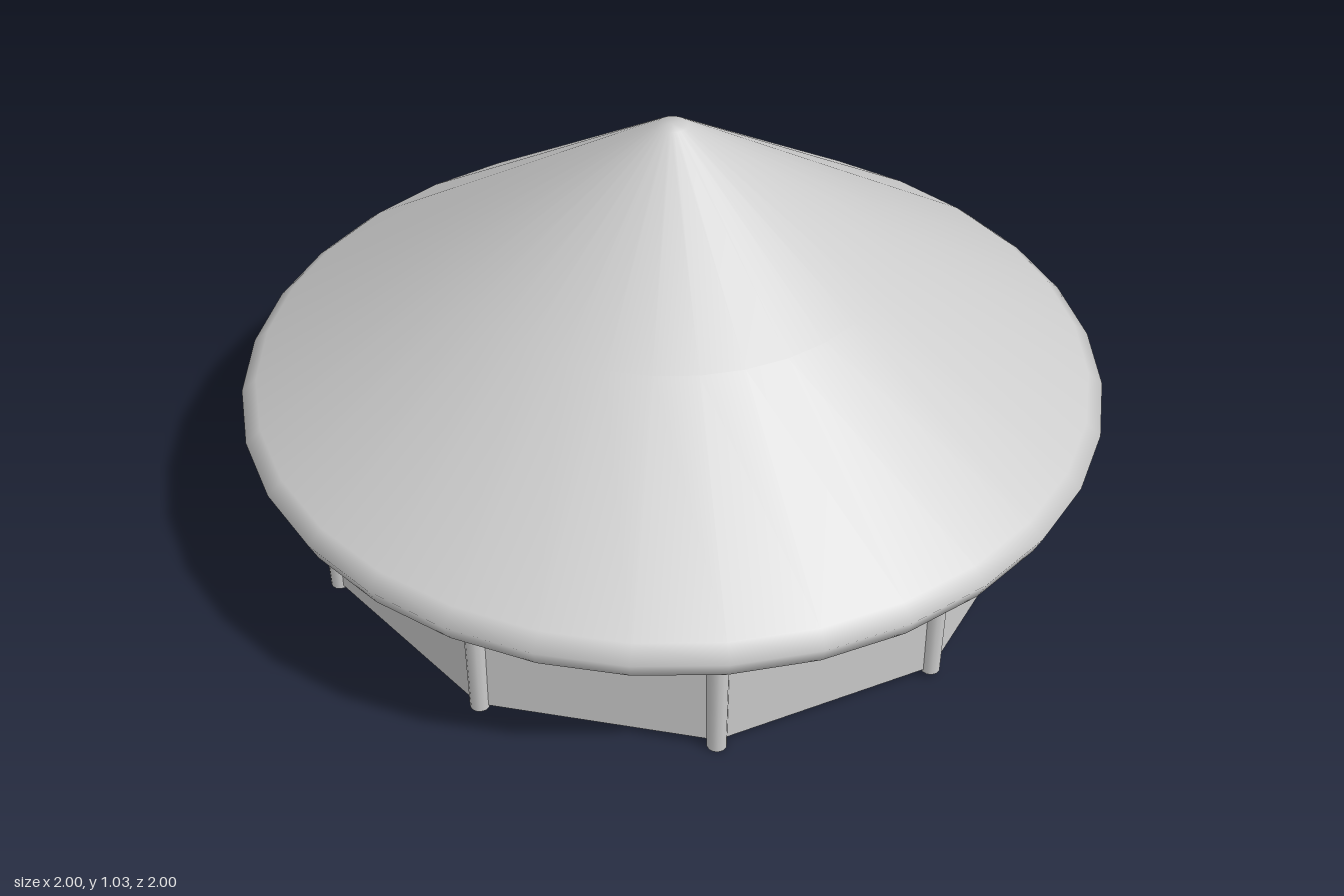
import * as THREE from 'three';

const SIDES = 10, R = 0.845, FLOOR = 0.02, EAVE = 0.345;
const STEP = (Math.PI * 2) / SIDES;
const DOOR_BAY = 4; // bay with the entrance, at the back

export function createModel() {
  const model = new THREE.Group();
  const mat = new THREE.MeshStandardMaterial({ color: 0xcccccc });

  const add = (name, geometry) => {
    const mesh = new THREE.Mesh(geometry, mat);
    mesh.name = name;
    model.add(mesh);
    return mesh;
  };
  const corner = (i, y = 0) => new THREE.Vector3(Math.sin(i * STEP) * R, y, Math.cos(i * STEP) * R);

  // Upright pole, slightly tapered
  const addPost = (name, p, bottom, radius) => {
    const h = EAVE + 0.01 - bottom;
    add(name, new THREE.CylinderGeometry(radius, radius * 0.88, h, 12)).position.set(p.x, bottom + h / 2, p.z);
  };

  // Thin flat wall between two floor points
  const addWall = (name, a, b) => {
    const wall = add(name, new THREE.BoxGeometry(a.distanceTo(b), EAVE - FLOOR, 0.012));
    wall.position.copy(a).add(b).multiplyScalar(0.5).setY((EAVE + FLOOR) / 2);
    wall.rotation.y = Math.atan2(-(b.z - a.z), b.x - a.x);
  };

  // Horizontal pole between two points
  const addRail = (name, a, b) => {
    const rail = add(name, new THREE.CylinderGeometry(0.017, 0.017, a.distanceTo(b), 10));
    rail.position.copy(a).add(b).multiplyScalar(0.5);
    rail.quaternion.setFromUnitVectors(new THREE.Vector3(0, 1, 0), b.clone().sub(a).normalize());
  };

  // Conical thatched roof with a rounded eave and closed underside
  const roofProfile = [
    [0, EAVE], [0.93, EAVE], [0.98, EAVE], [1, 0.39], [0.965, 0.42],
    [0.5, 0.727], [0.035, 1.035], [0, 1.035],
  ].map(([x, y]) => new THREE.Vector2(x, y));
  add('roof', new THREE.LatheGeometry(roofProfile, 32));

  // Ten-sided floor
  const floor = add('floor', new THREE.CylinderGeometry(R, R, 0.012, SIDES));
  floor.position.y = FLOOR + 0.004;
  floor.material = mat.clone();
  floor.material.flatShading = true;

  // Corner posts, walls and rails
  for (let i = 0; i < SIDES; i++) {
    const a = corner(i), b = corner(i + 1);
    addPost('cornerPost', a, i === 5 || i === 0 ? 0 : 0.012, 0.025);
    if (i === DOOR_BAY) continue;
    addWall('wall', a, b);
    const ya = i === 8 ? 0.215 : 0.235;
    addRail('wallRail', a.clone().multiplyScalar(1.005).setY(ya), b.clone().multiplyScalar(1.005).setY(0.235));
  }

  // Entrance bay: short wall, two door posts and an open doorway
  const a = corner(DOOR_BAY), b = corner(DOOR_BAY + 1);
  const doorPoints = [0.32, 0.68].map((t) => a.clone().lerp(b, t));
  addWall('entranceWall', a, doorPoints[0]);
  doorPoints.forEach((p) => addPost('doorPost', p, 0.012, 0.023));

  return model;
}
